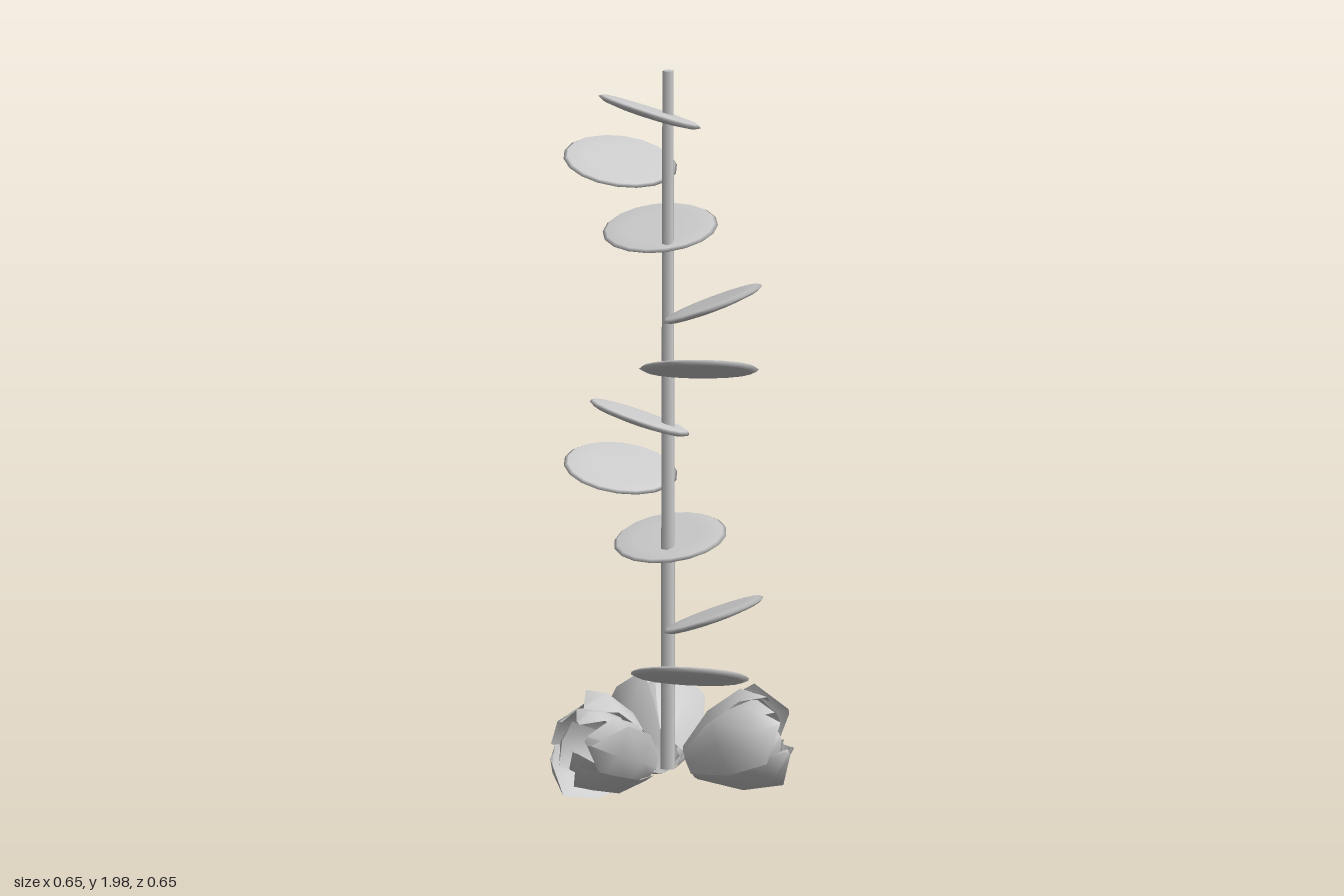
import * as THREE from 'three';

const STEM_X = -0.02, STEM_Z = 0.005;
const grey = new THREE.MeshStandardMaterial({ color: 0xcccccc, side: THREE.DoubleSide });

// Thin oval disc, shorter along its outward (x) direction
function leafGeometry() {
  const profile = [[0, -0.014], [0.1, -0.012], [0.145, -0.007], [0.162, 0.001], [0.152, 0.008], [0.1, 0.01], [0, 0.01]];
  return new THREE.LatheGeometry(profile.map(([r, y]) => new THREE.Vector2(r, y)), 18).scale(0.87, 1, 1);
}

// Cupped petal wrapped round the x axis, made from cross-sections [along, radius, half angle]
function petalGeometry(rows, length, width, angle, skew) {
  const cols = 2, pos = [], index = [];
  rows.forEach(([t, r, half], i) => {
    for (let j = 0; j <= cols; j++) {
      const s = j / cols * 2 - 1;
      const a = angle + s * half + skew * t;
      const rad = r * width * (1 + 0.1 * s);
      pos.push(t * length, rad * Math.cos(a), rad * Math.sin(a));
      if (i && j) {
        const q = i * (cols + 1) + j, p = q - cols - 1;
        index.push(p - 1, p, q, p - 1, q, q - 1);
      }
    }
  });
  const g = new THREE.BufferGeometry();
  g.setAttribute('position', new THREE.Float32BufferAttribute(pos, 3));
  g.setIndex(index);
  g.computeVertexNormals();
  return g;
}

// Flared outer petals with pointed corners round a narrower inner ring
const OUTER = [[0, 0.05, 0.7], [0.38, 0.12, 0.66], [0.78, 0.145, 0.6], [1, 0.085, 0.04]];
const INNER = [[0.05, 0.05, 0.8], [0.45, 0.105, 0.75], [0.8, 0.105, 0.7], [0.94, 0.045, 0.2]];

function makeBud(seed) {
  const bud = new THREE.Group();
  let state = seed;
  const rand = () => (state = (state * 16807) % 2147483647) / 2147483647;
  for (const [name, count, rows] of [['outerPetal', 5, OUTER], ['innerPetal', 4, INNER]]) {
    for (let i = 0; i < count; i++) {
      const angle = (i + 0.2 * rand()) / count * Math.PI * 2 + seed;
      const length = 0.285 * (0.93 + 0.12 * rand());
      const g = petalGeometry(rows, length, 0.92 + 0.14 * rand(), angle, 0.4 * (rand() - 0.5));
      const petal = new THREE.Mesh(g, grey);
      petal.name = name;
      bud.add(petal);
    }
  }
  return bud;
}

export function createModel() {
  const model = new THREE.Group();
  model.name = 'plant';

  // Stem
  const stem = new THREE.Mesh(new THREE.CylinderGeometry(0.016, 0.021, 1.92, 6), grey);
  stem.name = 'stem';
  stem.position.set(STEM_X, 1.04, STEM_Z);
  model.add(stem);

  // Leaves spiralling up the stem: x, y, z, outward direction (degrees), rise (degrees)
  const leaves = [
    [0.063, 0.36, 0.135, 90, 19],
    [0.128, 0.53, 0.127, 6, 20],
    [-0.025, 0.70, -0.062, -65, 19],
    [-0.177, 0.87, -0.146, -132, 20],
    [-0.099, 1.04, 0, 155, 19],
    [0.092, 1.21, 0.155, 82, 19],
    [0.12, 1.38, 0.10, 5, 21],
    [-0.058, 1.545, -0.092, -72, 18],
    [-0.177, 1.715, -0.141, -132, 20],
    [-0.066, 1.888, 0.03, 146, 19],
  ];
  const leafGeo = leafGeometry();
  for (const [x, y, z, heading, rise] of leaves) {
    const leaf = new THREE.Mesh(leafGeo, grey);
    leaf.name = 'leaf';
    leaf.position.set(x, y, z);
    leaf.rotation.set(0, -THREE.MathUtils.degToRad(heading), THREE.MathUtils.degToRad(rise));
    model.add(leaf);
  }

  // Three buds around the foot: direction (degrees), distance from stem, seed
  for (const [heading, reach, seed] of [[130, 0.08, 11], [-2, 0.06, 5], [-113, 0.055, 23]]) {
    const a = THREE.MathUtils.degToRad(heading);
    const bud = makeBud(seed);
    bud.name = 'bud';
    bud.position.set(STEM_X + reach * Math.cos(a), 0.1, STEM_Z + reach * Math.sin(a));
    bud.rotation.set(0, -a, 0.4);
    model.add(bud);
  }
  return model;
}
